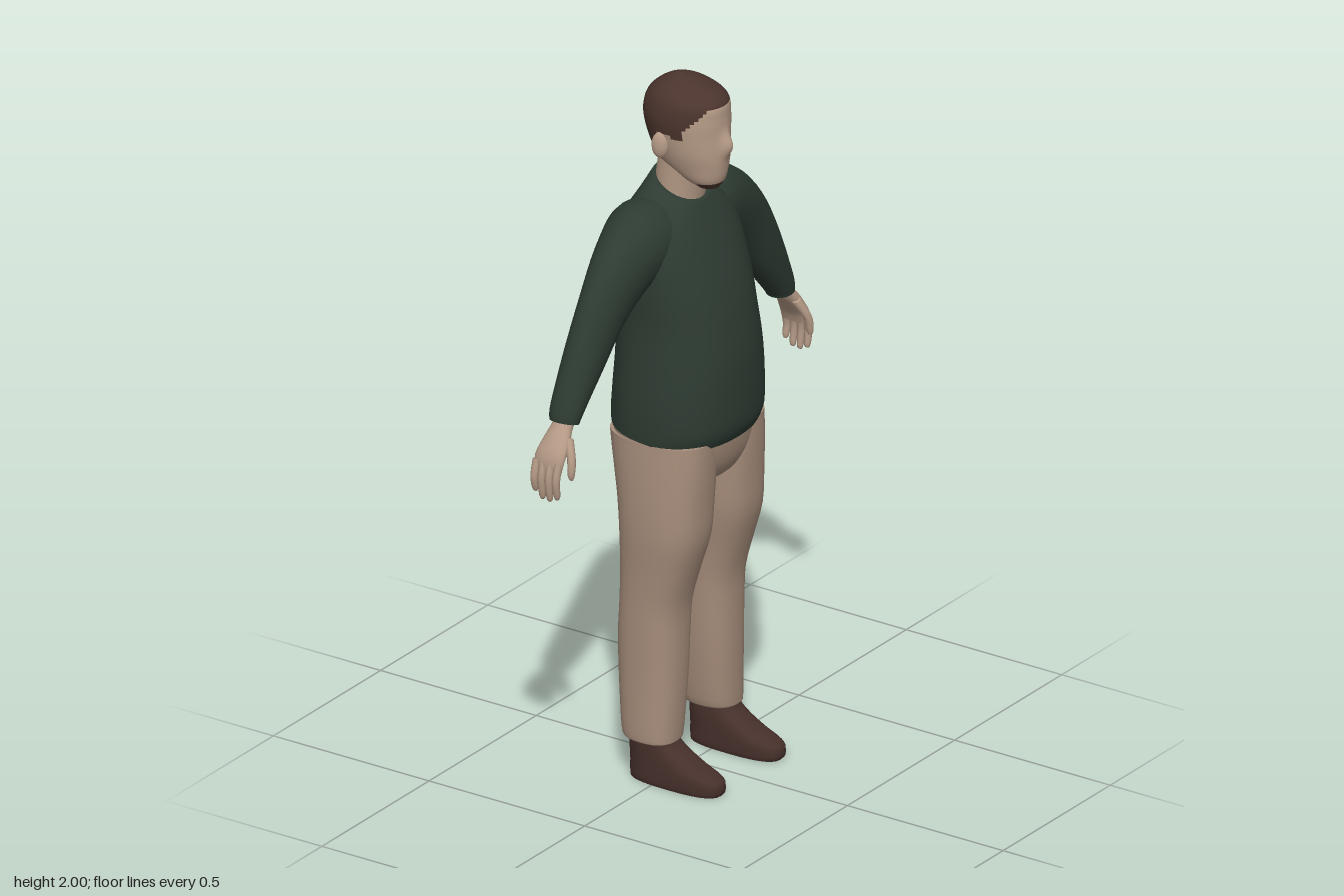
import * as THREE from 'three';

const mat = (name, color) => {
  const m = new THREE.MeshStandardMaterial({ color });
  m.name = name;
  return m;
};

// Catmull-Rom interpolation of rows of numbers, n steps between rows
function smooth(rows, n) {
  const out = [];
  const at = (i) => rows[Math.min(Math.max(i, 0), rows.length - 1)];
  for (let i = 0; i < rows.length - 1; i++) {
    for (let k = 0; k < n; k++) {
      const t = k / n;
      out.push(rows[i].map((b, c) => {
        const a = at(i - 1)[c], d = at(i + 1)[c], e = at(i + 2)[c];
        return b + 0.5 * t * (d - a + t * (2 * a - 5 * b + 4 * d - e + t * (3 * (b - d) + e - a)));
      }));
    }
  }
  out.push(rows[rows.length - 1]);
  return out;
}

// Skin over rings { c, u, v }; pick(x, y, z) chooses a material index, bend moves points
function loft(rings, { seg = 28, power = 2, pick = () => 0, bend = () => {} } = {}) {
  const pos = [], faces = [[], []];
  const put = (p) => pos.push(p.x, p.y, p.z) / 3 - 1;
  const get = (i) => new THREE.Vector3().fromArray(pos, i * 3);
  const tri = (a, b, c, mid) => faces[pick(mid.x, mid.y, mid.z)].push(a, b, c);
  const round = (w) => Math.sign(w) * Math.abs(w) ** (2 / power);
  const points = rings.map(({ c, u, v }) => Array.from({ length: seg }, (_, j) => {
    const a = (j / seg) * Math.PI * 2;
    const p = c.clone().addScaledVector(u, round(Math.cos(a))).addScaledVector(v, round(Math.sin(a)));
    bend(p);
    return p;
  }));
  points.forEach((row) => row.forEach(put));
  for (let i = 0; i < rings.length - 1; i++) {
    for (let j = 0; j < seg; j++) {
      const a = i * seg + j, b = i * seg + (j + 1) % seg, c = a + seg, d = b + seg;
      const mid = get(a).add(get(d)).multiplyScalar(0.5);
      tri(a, c, b, mid);
      tri(b, c, d, mid);
    }
  }
  // End caps with their own vertices
  [0, rings.length - 1].forEach((r, end) => {
    const centre = put(rings[r].c);
    const rim = points[r].map(put);
    rim.forEach((a, j) => {
      const b = rim[(j + 1) % seg];
      const mid = get(a).add(get(centre)).multiplyScalar(0.5);
      if (end) tri(centre, b, a, mid);
      else tri(centre, a, b, mid);
    });
  });
  const g = new THREE.BufferGeometry();
  g.setAttribute('position', new THREE.Float32BufferAttribute(pos, 3));
  g.setIndex([...faces[0], ...faces[1]]);
  if (faces[1].length) {
    g.addGroup(0, faces[0].length, 0);
    g.addGroup(faces[0].length, faces[1].length, 1);
  }
  g.computeVertexNormals();
  return g;
}

// Upright form: rows of [yBack, xBack, yFront, xFront, halfWidth, zCentre]
function upright(rows, n, options) {
  return loft(smooth(rows, n).map(([yb, xb, yf, xf, w, z]) => ({
    c: new THREE.Vector3((xb + xf) / 2, (yb + yf) / 2, z),
    u: new THREE.Vector3((xf - xb) / 2, (yf - yb) / 2, 0),
    v: new THREE.Vector3(0, 0, w),
  })), options);
}
const level = (rows) => rows.map(([y, xb, xf, w, z = 0]) => [y, xb, y, xf, w, z]);

// Limb along a path: rows of [x, y, z, radiusX, radiusAcross]; rings run upwards
function limb(rows, n, options) {
  const s = smooth(rows, n);
  return loft(s.map(([x, y, z, rx, rp], i) => {
    const a = s[Math.max(i - 1, 0)], b = s[Math.min(i + 1, s.length - 1)];
    const t = new THREE.Vector2(b[1] - a[1], b[2] - a[2]).normalize();
    return {
      c: new THREE.Vector3(x, y, z),
      u: new THREE.Vector3(rx, 0, 0),
      v: new THREE.Vector3(0, -t.y * rp, t.x * rp),
    };
  }), options);
}

function mirrorZ(geometry) {
  const g = geometry.clone().scale(1, 1, -1);
  const idx = g.index.array;
  for (let i = 0; i < idx.length; i += 3) [idx[i], idx[i + 1]] = [idx[i + 1], idx[i]];
  g.computeVertexNormals();
  return g;
}

export function createModel() {
  const skin = mat('skin', 0xb59a86), hair = mat('hair', 0x4b342d);
  const knit = mat('sweater green', 0x2d3b32), cloth = mat('trouser tan', 0xa68d7b);
  const leather = mat('shoe brown', 0x46302b);
  const model = new THREE.Group();
  model.name = 'standingMan';
  const add = (name, g, m) => {
    const mesh = new THREE.Mesh(g, m);
    mesh.name = name;
    model.add(mesh);
  };
  const pair = (name, g, m) => {
    add(name + 'A', g, m);
    add(name + 'B', mirrorZ(g), m);
  };

  // Head, with the hair as faces above the hairline and a small tuft under the chin
  const isHair = (x, y) => {
    if (y < 1.712 && x > 0.05) return 1;
    let line = 1.755;
    if (x > 0.03) line = Math.min(1.94, 1.87 + (x - 0.03) * 1.1);
    else if (x > 0) line = 1.848;
    else if (x > -0.05) line = 1.86;
    return y > line ? 1 : 0;
  };
  add('head', upright(level([
    [1.695, 0.025, 0.085, 0.03], [1.72, -0.02, 0.1, 0.056], [1.76, -0.088, 0.108, 0.076],
    [1.8, -0.112, 0.11, 0.09], [1.85, -0.13, 0.108, 0.1], [1.9, -0.137, 0.107, 0.104],
    [1.945, -0.125, 0.1, 0.094], [1.975, -0.095, 0.05, 0.066], [1.992, -0.065, 0.005, 0.033],
    [2, -0.04, -0.03, 0.004],
  ]), 5, {
    seg: 64,
    pick: isHair,
    bend: (p) => {
      if (p.x > 0.04) p.x += 0.023 * Math.exp(-(((p.y - 1.825) / 0.03) ** 2) - (p.z / 0.018) ** 2);
    },
  }), [skin, hair]);
  const ear = new THREE.SphereGeometry(1, 14, 10).scale(0.024, 0.037, 0.014)
    .rotateY(0.3).translate(-0.033, 1.825, 0.1);
  pair('ear', ear, skin);
  add('neck', upright([
    [1.64, -0.1, 1.58, 0.02, 0.07, 0], [1.72, -0.1, 1.66, 0.032, 0.069, 0],
    [1.78, -0.088, 1.74, 0.05, 0.068, 0],
  ], 3), skin);

  // Sweater body, with a sloping neckline and hem
  add('sweaterBody', upright([
    [1.02, -0.192, 0.985, 0.15, 0.214, 0], [1.05, -0.195, 1.03, 0.168, 0.216, 0],
    [1.12, -0.19, 1.12, 0.17, 0.215, 0], [1.22, -0.185, 1.22, 0.167, 0.205, 0],
    [1.32, -0.186, 1.32, 0.153, 0.196, 0], [1.42, -0.185, 1.42, 0.13, 0.198, 0],
    [1.52, -0.18, 1.52, 0.095, 0.198, 0], [1.61, -0.16, 1.58, 0.07, 0.176, 0],
    [1.67, -0.13, 1.62, 0.052, 0.13, 0], [1.72, -0.106, 1.648, 0.038, 0.078, 0],
  ], 4, { seg: 40, power: 2.35 }), knit);
  pair('sleeve', limb([
    [-0.063, 1.165, 0.503, 0.042, 0.036], [-0.063, 1.2, 0.489, 0.047, 0.044],
    [-0.06, 1.31, 0.418, 0.054, 0.067], [-0.058, 1.425, 0.335, 0.06, 0.088],
    [-0.06, 1.515, 0.237, 0.08, 0.104], [-0.065, 1.56, 0.14, 0.1, 0.11],
    [-0.065, 1.58, 0.06, 0.09, 0.08],
  ], 4), knit);

  // Hands
  pair('palm', limb([
    [-0.063, 1.05, 0.578, 0.042, 0.012], [-0.063, 1.085, 0.57, 0.047, 0.018],
    [-0.06, 1.125, 0.543, 0.04, 0.021], [-0.06, 1.16, 0.515, 0.03, 0.023],
    [-0.06, 1.19, 0.497, 0.03, 0.025],
  ], 3, { seg: 16 }), skin);
  [[-0.1, 0.985], [-0.077, 0.968], [-0.054, 0.966], [-0.031, 0.975]].forEach(([x, tip], i) => {
    pair('finger' + (i + 1), limb([
      [x, tip, 0.581, 0.004, 0.004], [x, tip + 0.01, 0.584, 0.009, 0.009],
      [x, 1.03, 0.589, 0.011, 0.011], [x, 1.075, 0.577, 0.011, 0.012],
    ], 3, { seg: 10 }), skin);
  });
  pair('thumb', limb([
    [-0.003, 1.03, 0.556, 0.005, 0.005], [-0.004, 1.045, 0.557, 0.01, 0.01],
    [-0.008, 1.085, 0.55, 0.012, 0.012], [-0.032, 1.135, 0.53, 0.015, 0.014],
  ], 3, { seg: 10 }), skin);

  // Trousers
  add('trouserSeat', upright(level([
    [0.835, -0.05, 0.05, 0.06], [0.865, -0.115, 0.1, 0.14], [0.92, -0.152, 0.13, 0.2],
    [1, -0.184, 0.145, 0.211], [1.04, -0.185, 0.145, 0.208],
  ]), 3, { seg: 36, power: 2.4 }), cloth);
  pair('trouserLeg', upright(level([
    [0.125, -0.1, 0.05, 0.066, 0.142], [0.15, -0.112, 0.052, 0.073, 0.138],
    [0.3, -0.125, 0.058, 0.081, 0.129], [0.42, -0.128, 0.06, 0.086, 0.126],
    [0.52, -0.123, 0.065, 0.089, 0.124], [0.62, -0.122, 0.092, 0.094, 0.123],
    [0.72, -0.125, 0.12, 0.104, 0.12], [0.82, -0.134, 0.127, 0.108, 0.116],
    [0.92, -0.152, 0.133, 0.107, 0.112], [1, -0.165, 0.135, 0.103, 0.11],
  ]), 3, { power: 2.4 }), cloth);

  // Shoes
  pair('shoe', upright(level([
    [0, -0.09, 0.19, 0.05, 0.14], [0.012, -0.092, 0.196, 0.053, 0.14],
    [0.04, -0.092, 0.19, 0.053, 0.14], [0.062, -0.091, 0.14, 0.052, 0.14],
    [0.09, -0.091, 0.085, 0.051, 0.14], [0.12, -0.09, 0.045, 0.05, 0.141],
    [0.15, -0.088, 0.04, 0.049, 0.141],
  ]), 3, { power: 2.7 }), leather);

  return model;
}
